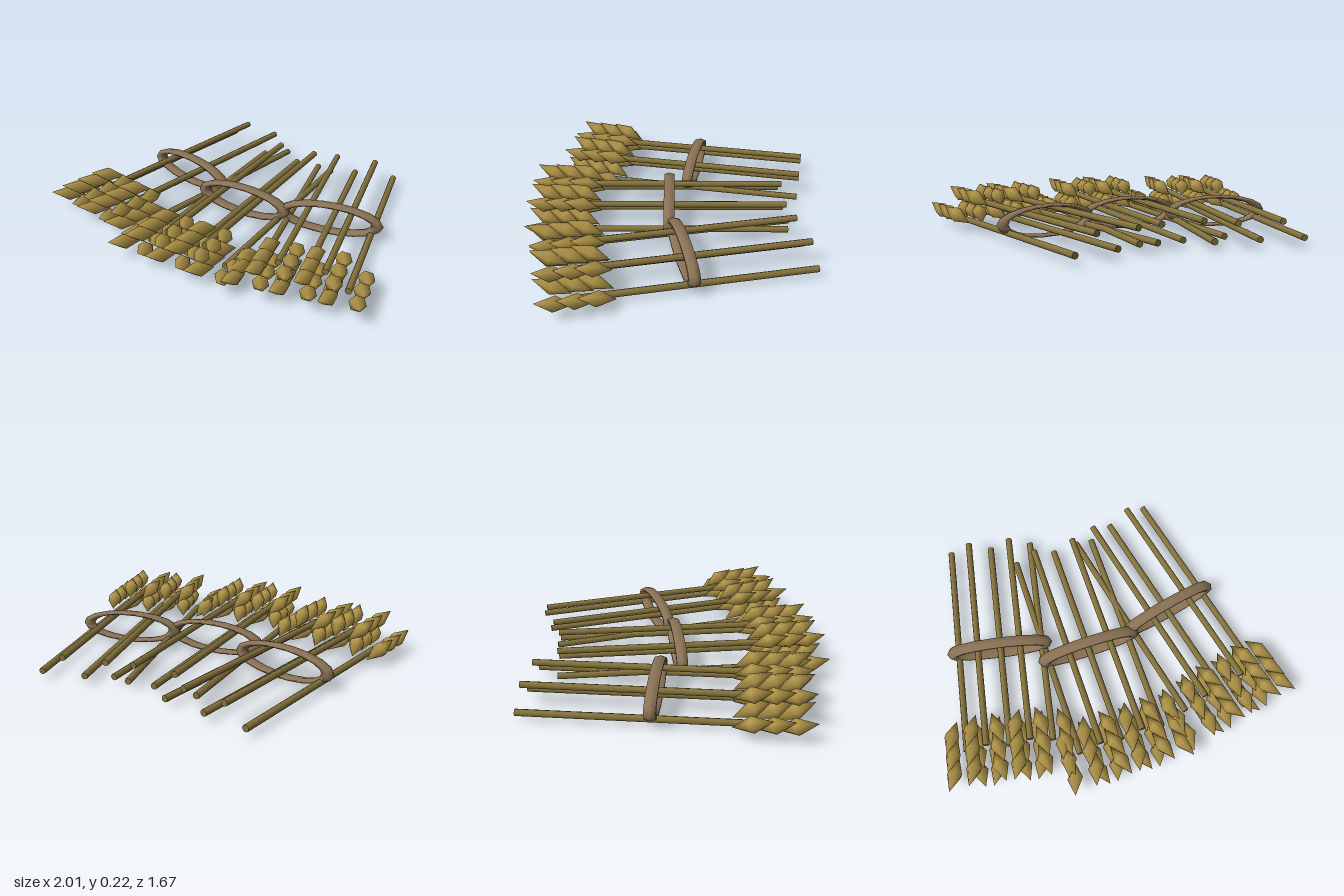
import * as THREE from 'three';

function material(name, color) {
  const m = new THREE.MeshStandardMaterial({ color });
  m.name = name;
  return m;
}

export function createModel() {
  const straw = material('straw', 0x85733c);
  const grain = material('grain', 0xb5984a);
  const twine = material('twine', 0x8b7355);

  const stalkGeo = new THREE.CylinderGeometry(0.0185, 0.0185, 1.25, 8).rotateX(Math.PI / 2);
  // Six-sided double cone with soft shading
  const kernelGeo = new THREE.SphereGeometry(1, 6, 2).scale(0.045, 0.108, 0.043);
  const bandGeo = new THREE.TorusGeometry(0.273, 0.035, 6, 18).scale(1, 0.305, 1);

  const add = (parent, name, geo, mat, x, y, z) => {
    const mesh = new THREE.Mesh(geo, mat);
    mesh.name = name;
    mesh.position.set(x, y, z);
    parent.add(mesh);
    return mesh;
  };

  // Row of three kernels leaning outward and up towards the tip
  function ear(side) {
    const group = new THREE.Group();
    group.name = 'ear';
    const lean = new THREE.Vector3(side * 0.028, 0.038, 0.097).normalize();
    for (let k = -1; k <= 1; k++) {
      add(group, 'kernel', kernelGeo, grain, 0, 0, k * 0.105)
        .quaternion.setFromUnitVectors(new THREE.Vector3(0, 1, 0), lean);
    }
    return group;
  }

  // Five stalks, alternately low and high, held by one oval band
  function sheaf(x, z, turn) {
    const group = new THREE.Group();
    group.name = 'sheaf';
    for (let i = 0; i < 5; i++) {
      const sx = (i - 2) * 0.122;
      const y = i % 2 ? 0.143 : 0.053;
      add(group, 'stalk', stalkGeo, straw, sx, y, -0.05);
      for (const side of [-1, 1]) {
        const e = ear(side);
        e.position.set(sx + side * 0.072, y + 0.038, 0.598);
        group.add(e);
      }
    }
    add(group, 'band', bandGeo, twine, 0, 0.097, 0);
    group.position.set(x, 0, z);
    group.rotation.y = turn;
    return group;
  }

  const model = new THREE.Group();
  model.name = 'wheatSheaves';
  model.add(
    sheaf(-0.57, -0.115, -0.11),
    sheaf(-0.065, 0.005, 0.083),
    sheaf(0.453, -0.115, 0.29)
  );
  return model;
}
